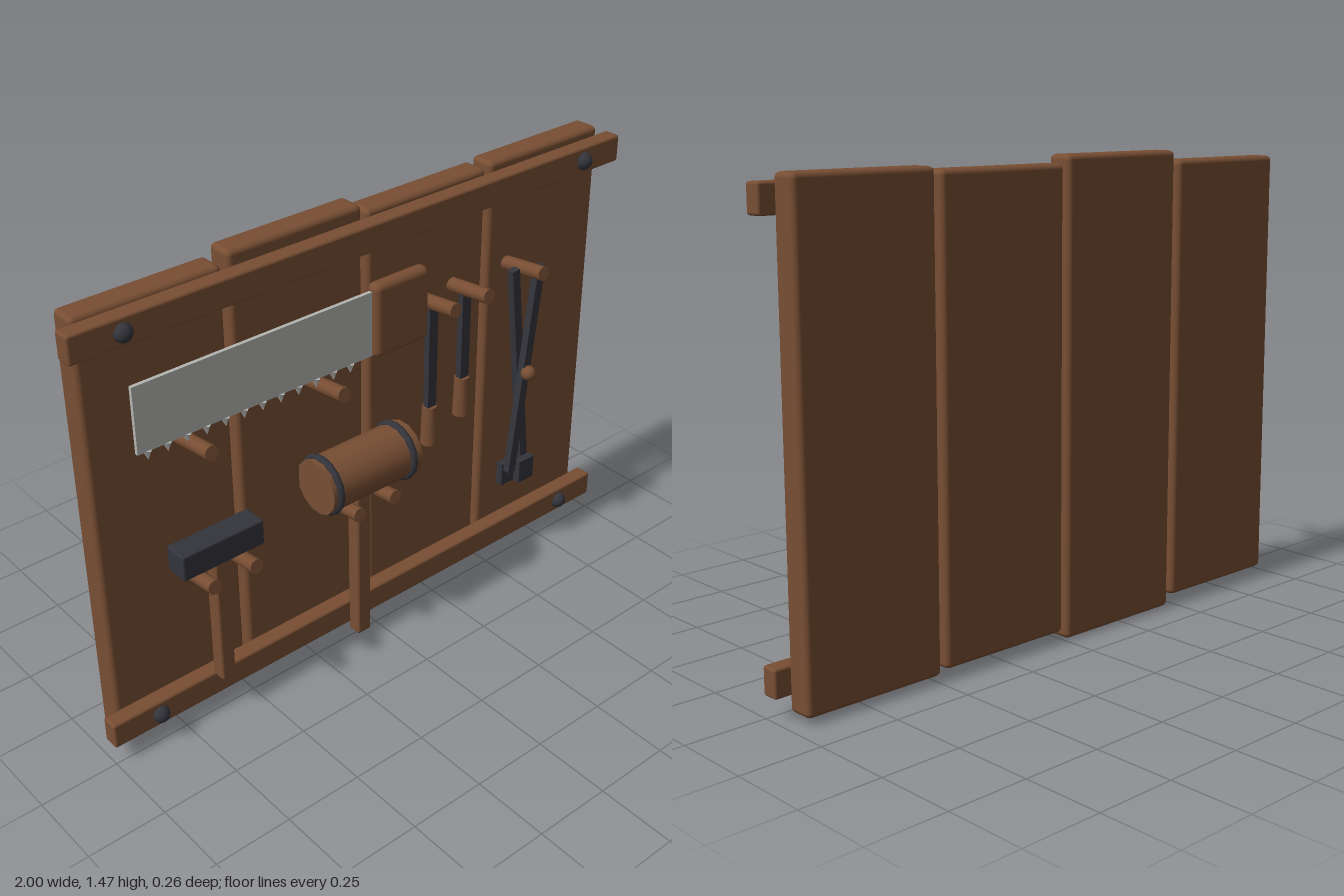
import * as THREE from 'three';
import { RoundedBoxGeometry } from 'three/addons/geometries/RoundedBoxGeometry.js';

const paint = (name, color) => {
  const m = new THREE.MeshStandardMaterial({ color });
  m.name = name;
  return m;
};

export function createModel() {
  const model = new THREE.Group();
  model.name = 'toolBoard';
  const wood = paint('wood', 0x784e33);
  const iron = paint('darkIron', 0x34353c);
  const steel = paint('steel', 0xb4b4b1);

  const group = (name) => {
    const g = new THREE.Group();
    g.name = name;
    model.add(g);
    return g;
  };
  const add = (parent, name, geometry, material, x, y, z) => {
    const mesh = new THREE.Mesh(geometry, material);
    mesh.name = name;
    mesh.position.set(x, y, z);
    parent.add(mesh);
    return mesh;
  };
  // Boxes given by their x, y and z ranges
  const block = (parent, name, material, [x0, x1], [y0, y1], [z0, z1], radius = 0) => {
    const size = [x1 - x0, y1 - y0, z1 - z0];
    const geometry = radius
      ? new RoundedBoxGeometry(...size, 2, radius)
      : new THREE.BoxGeometry(...size);
    return add(parent, name, geometry, material, (x0 + x1) / 2, (y0 + y1) / 2, (z0 + z1) / 2);
  };

  // Back board: four upright planks of uneven length
  const board = group('board');
  [[0.03, 1.44], [0, 1.47], [0.03, 1.445], [0.02, 1.455]].forEach((span, i) => {
    const x = -0.724 + i * 0.4825;
    block(board, 'plank', wood, [x - 0.232, x + 0.232], span, [-0.132, -0.047], 0.016);
  });

  // Cross battens with domed bolts
  for (const y of [0.107, 1.387]) {
    block(board, 'batten', wood, [-1, 1], [y - 0.043, y + 0.043], [-0.047, 0.008], 0.008);
    for (const x of [-0.84, 0.84]) {
      add(board, 'bolt', new THREE.SphereGeometry(0.028, 12, 8), iron, x, y, 0.008);
    }
  }

  // Pegs, tilted up towards the front
  const pegs = group('pegs');
  const pegGeometry = new THREE.CylinderGeometry(0.023, 0.023, 0.165, 10);
  for (const [x, y] of [[0.21, 1.115], [0.345, 1.115], [0.575, 1.115], [-0.67, 0.995], [-0.215, 0.995],
    [-0.69, 0.555], [-0.545, 0.555], [-0.16, 0.555], [-0.02, 0.555]]) {
    add(pegs, 'peg', pegGeometry, wood, x, y, 0.034).rotation.x = Math.PI / 2 - 0.13;
  }

  // Saw
  const saw = group('saw');
  block(saw, 'sawBlade', steel, [-0.845, -0.03], [1.03, 1.237], [0.018, 0.03]);
  block(saw, 'sawHandle', wood, [-0.04, 0.168], [1.02, 1.26], [0, 0.05], 0.022);
  const tooth = new THREE.ConeGeometry(0.016, 0.032, 4);
  for (let i = 0; i < 12; i++) {
    add(saw, 'sawTooth', tooth, steel, -0.81 + i * 0.063, 1.016, 0.024).rotation.x = Math.PI;
  }

  // Hammer
  const hammer = group('hammer');
  block(hammer, 'hammerHead', iron, [-0.755, -0.475], [0.583, 0.667], [-0.018, 0.062], 0.006);
  block(hammer, 'hammerHandle', wood, [-0.642, -0.593], [0.145, 0.6], [0, 0.05], 0.008);

  // Mallet with two iron bands
  const mallet = group('mallet');
  add(mallet, 'malletHead', new THREE.CylinderGeometry(0.088, 0.088, 0.345, 14), wood, -0.088, 0.667, 0.033)
    .rotation.z = Math.PI / 2;
  for (const x of [-0.235, 0.05]) {
    add(mallet, 'malletBand', new THREE.TorusGeometry(0.087, 0.012, 8, 16), iron, x, 0.667, 0.033)
      .rotation.y = Math.PI / 2;
  }
  block(mallet, 'malletHandle', wood, [-0.115, -0.063], [0.037, 0.62], [0, 0.05], 0.008);

  // Two chisels of different height
  const chisels = group('chisels');
  for (const [x, y] of [[0.21, 0.685], [0.345, 0.738]]) {
    add(chisels, 'chiselHandle', new THREE.CylinderGeometry(0.024, 0.028, 0.135, 10), wood, x, y, 0.01);
    block(chisels, 'chiselBlade', iron, [x - 0.017, x + 0.017], [y + 0.06, 1.11], [0, 0.022]);
  }

  // Tongs: crossed bars, jaws and a pivot
  const tongs = group('tongs');
  for (const [side, z] of [[-1, 0.055], [1, 0.028]]) {
    const bar = add(tongs, 'tongBar', new THREE.BoxGeometry(0.03, 0.735, 0.025), iron, 0.576, 0.755, z);
    bar.rotation.z = side * 0.115;
    const x = 0.576 - side * 0.027;
    block(tongs, 'tongJaw', iron, [x - 0.033, x + 0.033], [0.33, 0.412], [z - 0.0125, z + 0.0125]);
  }
  add(tongs, 'tongPivot', new THREE.SphereGeometry(0.025, 12, 8), wood, 0.576, 0.757, 0.076);

  return model;
}
